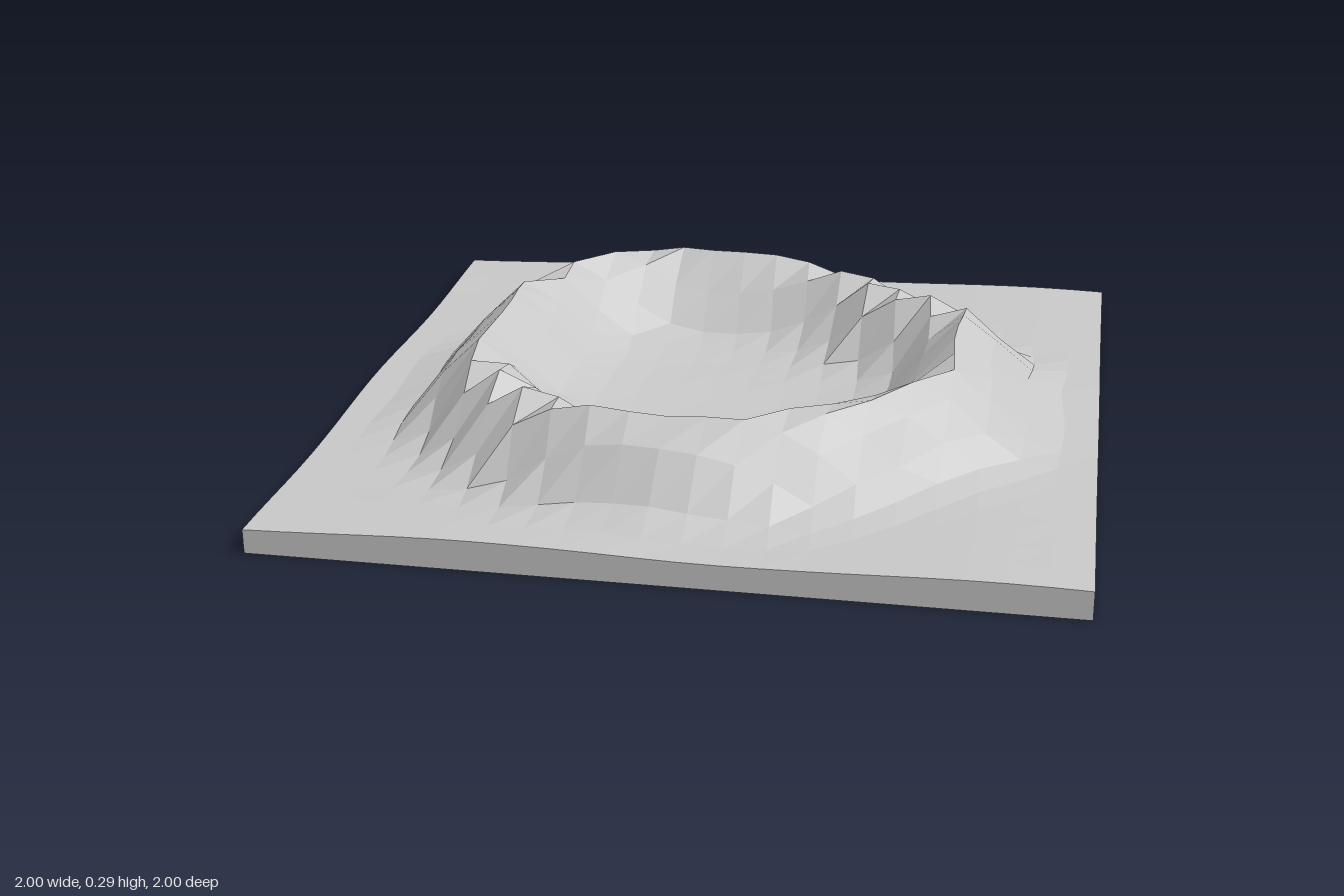
import * as THREE from 'three';

// Crater rim radius every 22.5 degrees, from +x turning towards +z
const RIM = [0.62, 0.64, 0.575, 0.6, 0.63, 0.66, 0.67, 0.665, 0.62, 0.65, 0.675, 0.665, 0.62, 0.59, 0.56, 0.635];
// Cross-section: distance from the rim, height
const SECTION = [
  [-0.7, 0.06], [-0.4, 0.063], [-0.28, 0.072], [-0.19, 0.095], [-0.1, 0.188], [-0.03, 0.27], [0, 0.28],
  [0.03, 0.271], [0.1, 0.212], [0.19, 0.102], [0.25, 0.076], [0.31, 0.065], [1.2, 0.06],
];

function rimRadius(angle) {
  const t = ((angle / (Math.PI * 2) + 1) % 1) * RIM.length;
  const i = Math.floor(t);
  return THREE.MathUtils.lerp(RIM[i % RIM.length], RIM[(i + 1) % RIM.length], t - i);
}

function sectionHeight(d) {
  const i = Math.max(1, SECTION.findIndex((p) => p[0] >= d));
  const [a, b] = [SECTION[i - 1], SECTION[i]];
  return THREE.MathUtils.mapLinear(d, a[0], b[0], a[1], b[1]);
}

function groundHeight(x, z) {
  const r = Math.hypot(x, z);
  let d = r - rimRadius(Math.atan2(z, x));
  // the outer slope is steeper on the -x side and a little on the -z side
  if (d > 0) d *= 1 + (0.25 * Math.max(0, -x) + 0.1 * Math.max(0, -z)) / r;
  // gentle undulation plus finer unevenness, stronger around the rim
  const swell = 0.007 * Math.cos(5 * x + 2.25) + 0.007 * Math.cos(6 * z);
  const rough = 0.006 * Math.sin(9 * x + 5 * z) * Math.sin(8 * z - 4 * x + 1) * Math.exp(-d * d * 12);
  return sectionHeight(d) + swell + rough;
}

export function createModel() {
  const group = new THREE.Group();
  group.name = 'craterTile';
  const rock = new THREE.MeshStandardMaterial({ color: 0xc8c8c8, flatShading: true });
  rock.name = 'grey rock';

  // Square slab whose upper vertices are raised into the crater
  const geo = new THREE.BoxGeometry(2, 1, 2, 21, 1, 21);
  const pos = geo.attributes.position;
  for (let i = 0; i < pos.count; i++) {
    const x = pos.getX(i), z = pos.getZ(i);
    if (pos.getY(i) < 0) {
      pos.setY(i, 0);
      continue;
    }
    pos.setY(i, groundHeight(x, z));
    // slightly irregular grid inside the straight borders
    if (Math.max(Math.abs(x), Math.abs(z)) < 0.99) {
      pos.setX(i, x + 0.007 * Math.sin(13 * z + 7 * x));
      pos.setZ(i, z + 0.007 * Math.sin(12 * x - 6 * z));
    }
  }
  geo.clearGroups();
  geo.computeVertexNormals();

  const mesh = new THREE.Mesh(geo, rock);
  mesh.name = 'craterGround';
  group.add(mesh);
  return group;
}
